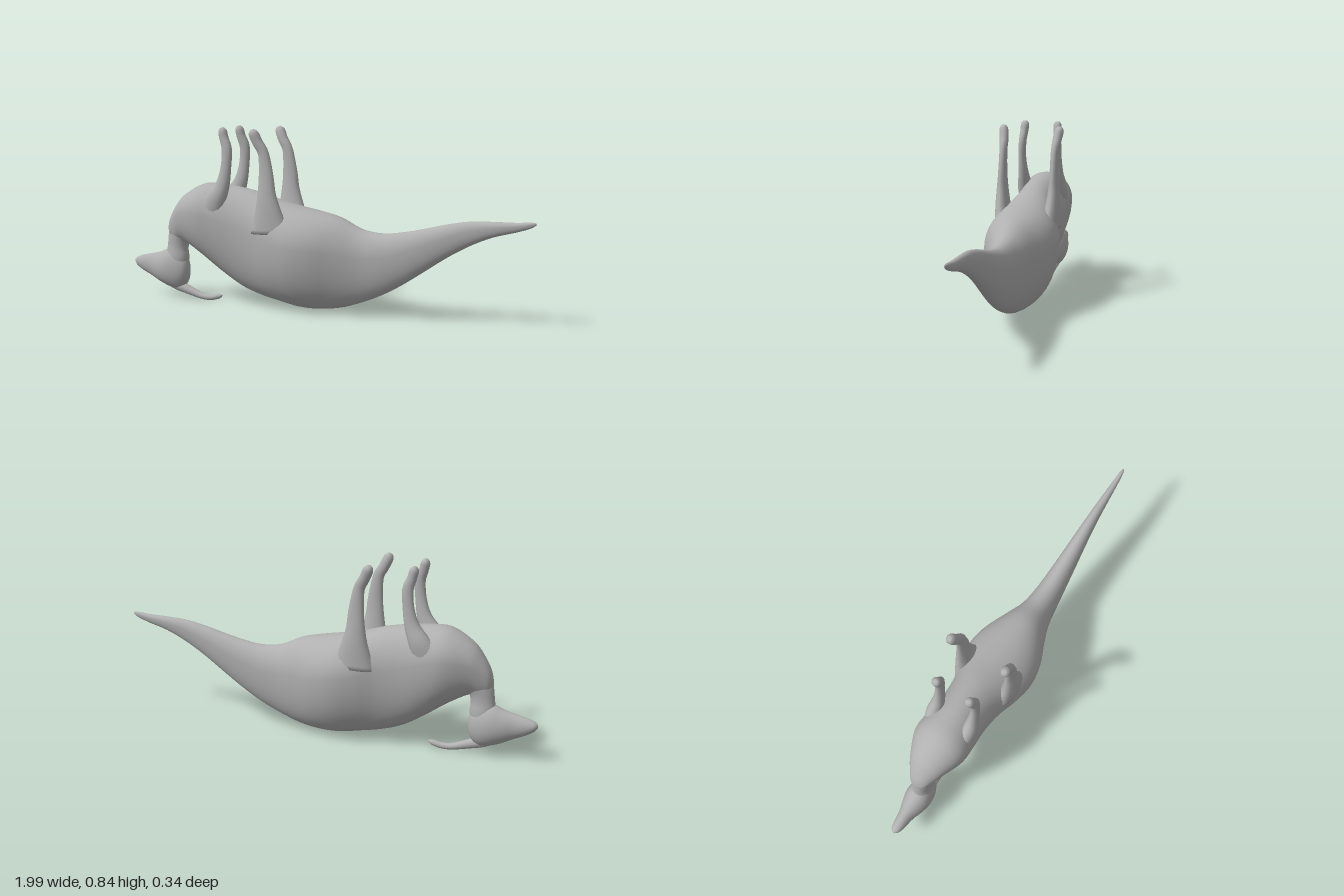
import * as THREE from 'three';

const skin = new THREE.MeshStandardMaterial({ color: 0xb0b0b0 });
skin.name = 'plain grey';

// Smooth interpolation of any row of numbers
function refine(rows, steps) {
  const out = [];
  const at = i => rows[Math.max(0, Math.min(rows.length - 1, i))];
  for (let i = 0; i < rows.length - 1; i++) {
    for (let s = 0; s < steps; s++) {
      const t = s / steps;
      out.push(rows[i].map((_, k) => {
        const a = at(i - 1)[k], b = at(i)[k], c = at(i + 1)[k], d = at(i + 2)[k];
        return b + 0.5 * t * (c - a + t * (2 * a - 5 * b + 4 * c - d + t * (3 * (b - c) + d - a)));
      }));
    }
  }
  out.push(rows[rows.length - 1]);
  return out;
}

// Skin of oval rings; each row is [x, y, z, radius up, radius down, radius in z].
// With follow, rings turn square to the path, otherwise they stay upright.
function loft(name, rows, { follow = false, sides = 28, steps = 4 } = {}) {
  const r = refine(rows, steps), pos = [], index = [];
  r.forEach(([x, y, z, up, down, w], i) => {
    const p = r[Math.max(0, i - 1)], q = r[Math.min(r.length - 1, i + 1)];
    const t = follow ? new THREE.Vector2(q[0] - p[0], q[1] - p[1]).normalize() : new THREE.Vector2(1, 0);
    for (let j = 0; j < sides; j++) {
      const a = j / sides * Math.PI * 2, c = Math.cos(a), h = c * (c > 0 ? up : down);
      pos.push(x - t.y * h, y + t.x * h, z + Math.sin(a) * w);
    }
  });
  for (let i = 0; i < r.length - 1; i++) {
    for (let j = 0; j < sides; j++) {
      const a = i * sides + j, b = i * sides + (j + 1) % sides;
      index.push(a, b, a + sides, b, b + sides, a + sides);
    }
  }
  // End caps
  const n = r.length * sides, last = n - sides;
  pos.push(...r[0].slice(0, 3), ...r[r.length - 1].slice(0, 3));
  for (let j = 0; j < sides; j++) {
    const k = (j + 1) % sides;
    index.push(n, k, j, n + 1, last + j, last + k);
  }
  const g = new THREE.BufferGeometry();
  g.setAttribute('position', new THREE.Float32BufferAttribute(pos, 3));
  g.setIndex(index);
  g.computeVertexNormals();
  const mesh = new THREE.Mesh(g, skin);
  mesh.name = name;
  return mesh;
}

// Turns [x, top, bottom, half width] into a loft row, widest at a share of the height
const profile = (rows, share) => rows.map(([x, top, bottom, w]) => {
  const y = bottom + (top - bottom) * share;
  return [x, y, 0, top - y, y - bottom, w];
});

export function createModel() {
  const model = new THREE.Group();
  model.name = 'overturnedDinosaur';

  // Trunk running into the tail, belly upward
  model.add(loft('bodyAndTail', profile([
    [-0.8, 0.345, 0.315, 0.008], [-0.785, 0.40, 0.285, 0.035], [-0.75, 0.46, 0.275, 0.058],
    [-0.7, 0.515, 0.28, 0.085], [-0.6, 0.57, 0.225, 0.125], [-0.5, 0.572, 0.155, 0.122],
    [-0.4, 0.56, 0.095, 0.115], [-0.3, 0.54, 0.06, 0.125], [-0.2, 0.51, 0.04, 0.155],
    [-0.1, 0.488, 0.022, 0.17], [0, 0.47, 0.02, 0.153], [0.1, 0.447, 0.033, 0.112],
    [0.2, 0.402, 0.065, 0.077], [0.3, 0.388, 0.108, 0.062], [0.4, 0.4, 0.165, 0.052],
    [0.5, 0.422, 0.232, 0.043], [0.6, 0.447, 0.3, 0.034], [0.7, 0.465, 0.358, 0.026],
    [0.8, 0.47, 0.402, 0.02], [0.9, 0.472, 0.43, 0.014], [0.96, 0.477, 0.45, 0.009],
    [0.985, 0.475, 0.465, 0.003],
  ], 0.63), { sides: 40 }));

  // Neck bending down to the head
  model.add(loft('neck', [
    [-0.61, 0.43, 0, 0.1, 0.1, 0.075], [-0.69, 0.375, 0, 0.085, 0.085, 0.062],
    [-0.738, 0.32, 0, 0.058, 0.063, 0.046], [-0.755, 0.26, 0, 0.053, 0.053, 0.04],
    [-0.758, 0.2, 0, 0.058, 0.058, 0.045], [-0.76, 0.14, 0, 0.045, 0.045, 0.04],
  ], { follow: true }));

  // Head with a tapered snout
  model.add(loft('head', profile([
    [-1, 0.178, 0.162, 0.006], [-0.985, 0.19, 0.145, 0.02], [-0.95, 0.202, 0.123, 0.028],
    [-0.9, 0.213, 0.1, 0.036], [-0.85, 0.226, 0.075, 0.052], [-0.8, 0.245, 0.056, 0.061],
    [-0.75, 0.24, 0.048, 0.054], [-0.712, 0.21, 0.075, 0.036], [-0.695, 0.165, 0.125, 0.01],
  ], 0.5)));

  // Curved crest sweeping back from the skull
  model.add(loft('crest', [
    [-0.84, 0.1, 0, 0.02, 0.02, 0.02], [-0.77, 0.07, 0, 0.026, 0.026, 0.026],
    [-0.7, 0.046, 0, 0.021, 0.021, 0.02], [-0.63, 0.024, 0, 0.015, 0.015, 0.016],
    [-0.58, 0.02, 0, 0.014, 0.014, 0.014], [-0.535, 0.029, 0, 0.012, 0.012, 0.012],
    [-0.517, 0.034, 0, 0.004, 0.004, 0.004],
  ], { follow: true, sides: 16 }));

  // Four legs pointing upward, rows [x, y, z, radius in x, radius in z]
  const fore = [
    [-0.53, 0.43, 0.075, 0.07, 0.04], [-0.49, 0.51, 0.088, 0.05, 0.036], [-0.455, 0.58, 0.088, 0.034, 0.025],
    [-0.437, 0.66, 0.089, 0.026, 0.018], [-0.432, 0.74, 0.087, 0.025, 0.018],
    [-0.448, 0.79, 0.083, 0.022, 0.019], [-0.457, 0.825, 0.081, 0.02, 0.02], [-0.461, 0.841, 0.081, 0.008, 0.01],
  ];
  const hind = [
    [-0.2, 0.37, 0.108, 0.1, 0.045], [-0.205, 0.47, 0.12, 0.065, 0.034], [-0.21, 0.55, 0.124, 0.045, 0.026],
    [-0.212, 0.63, 0.124, 0.036, 0.02], [-0.224, 0.73, 0.124, 0.026, 0.018],
    [-0.25, 0.78, 0.128, 0.024, 0.021], [-0.269, 0.822, 0.134, 0.023, 0.021], [-0.275, 0.84, 0.134, 0.009, 0.01],
  ];
  for (const side of [1, -1]) {
    const end = side > 0 ? 'Near' : 'Far';
    for (const [name, rows] of [['foreLeg', fore], ['hindLeg', hind]]) {
      model.add(loft(name + end, rows.map(([x, y, z, a, w]) => [x, y, z * side, a, a, w]),
        { follow: true, sides: 16 }));
    }
  }
  return model;
}
